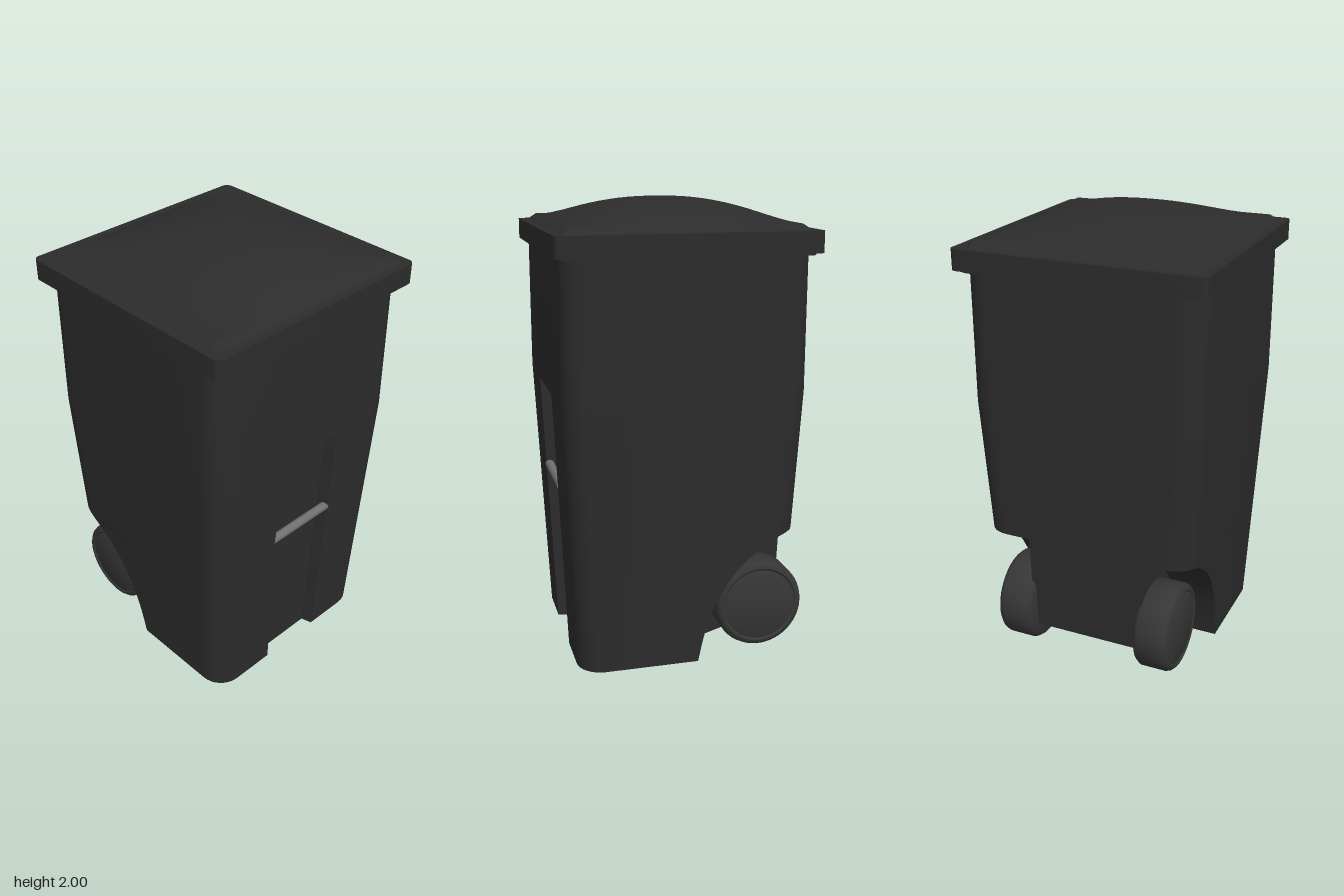
import * as THREE from 'three';
import { toCreasedNormals } from 'three/addons/utils/BufferGeometryUtils.js';

const paint = (color) => new THREE.MeshStandardMaterial({ color });
const shell = paint(0x2c2c2c), rubber = paint(0x363636), metal = paint(0x707070);

const TONGUE = 0.27; // half width of the hull between the wheels
const RECESS_TOP = 1.18;

// Half width of the tapered hull at height y
const half = (y) => 0.47 + 0.055 * Math.min(y / 1.2, 1);

// Horizontal outline of the hull: grip recess on +x, wheel arch clips -x
function outline(y, xMin, recessed) {
  const h = half(y), r = 0.11, d = recessed ? 0.05 : 0;
  const w = 0.155 + 0.02 * Math.min(y / RECESS_TOP, 1);
  const ring = [[h, -w], [h - d, 0.015 - w], [h - d, w - 0.015], [h, w]];
  const corners = [[1, 1], [-1, 1], [-1, -1], [1, -1]];
  corners.forEach(([sx, sz], k) => {
    for (let i = 0; i <= 8; i++) {
      const a = (k + i / 8) * Math.PI / 2;
      ring.push([Math.max(sx * (h - r) + r * Math.cos(a), xMin), sz * (h - r) + r * Math.sin(a)]);
    }
  });
  return ring.map(([x, z]) => new THREE.Vector3(x, y, z));
}

function hullGeometry() {
  // Wheel arch curve, from the floor up to the rear wall
  const arch = new THREE.SplineCurve([
    [-0.055, 0], [-0.087, 0.15], [-0.14, 0.29], [-0.24, 0.44], [-0.39, 0.553], [-0.5, 0.577],
  ].map(([x, y]) => new THREE.Vector2(x, y)));
  const rings = arch.getPoints(20).map((p) => outline(p.y, p.x, true));
  rings.push(outline(RECESS_TOP, -1, true), outline(RECESS_TOP, -1, false));
  rings.push(outline(1.2, -1, false), outline(1.82, -1, false));

  const pos = [];
  const tri = (...pts) => pts.forEach((p) => pos.push(p.x, p.y, p.z));
  for (let k = 0; k < rings.length - 1; k++) {
    const lo = rings[k], up = rings[k + 1], n = lo.length;
    for (let i = 0; i < n; i++) {
      const j = (i + 1) % n;
      tri(lo[i], up[i], lo[j]);
      tri(lo[j], up[i], up[j]);
    }
  }
  // Floor
  const base = rings[0].filter((p, i, all) => i === 0 || p.distanceTo(all[i - 1]) > 1e-5);
  const flat = base.map((p) => new THREE.Vector2(p.x, p.z));
  THREE.ShapeUtils.triangulateShape(flat, []).forEach((f) => tri(...f.map((i) => base[i])));

  const g = new THREE.BufferGeometry();
  g.setAttribute('position', new THREE.Float32BufferAttribute(pos, 3));
  return toCreasedNormals(g, 0.5);
}

// Flat slab with rounded corners, lying on height y
function slab(h, r, y, height) {
  const s = new THREE.Shape();
  s.absarc(h - r, h - r, r, 0, Math.PI / 2);
  s.absarc(r - h, h - r, r, Math.PI / 2, Math.PI);
  s.absarc(r - h, r - h, r, Math.PI, Math.PI * 1.5);
  s.absarc(h - r, r - h, r, Math.PI * 1.5, Math.PI * 2);
  const g = new THREE.ExtrudeGeometry(s, { depth: height, bevelEnabled: false, curveSegments: 6 });
  g.rotateX(-Math.PI / 2).translate(0, y, 0);
  return toCreasedNormals(g, 0.5);
}

// Domed lid top with a mitred chamfer around it
function domeGeometry() {
  const g = new THREE.PlaneGeometry(1.04, 1.04, 26, 26).rotateX(-Math.PI / 2);
  const p = g.attributes.position;
  const bulge = (t) => 1 - Math.min(Math.abs(t) / 0.48, 1) ** 2.3;
  for (let i = 0; i < p.count; i++) {
    const x = p.getX(i), z = p.getZ(i);
    const edge = Math.max(Math.abs(x), Math.abs(z));
    const chamfer = Math.min((0.52 - edge) / 0.04, 1) * 0.025;
    p.setY(i, 1.88 + chamfer + 0.095 * bulge(x) * bulge(z));
  }
  return toCreasedNormals(g, 0.3);
}

function wheelGeometry() {
  const profile = [
    [0, -0.08], [0.17, -0.08], [0.188, -0.072], [0.2, -0.055], [0.2, 0.055], [0.195, 0.07],
    [0.184, 0.081], [0.172, 0.083], [0.163, 0.077], [0.15, 0.083], [0, 0.087],
  ].map(([r, y]) => new THREE.Vector2(r, y));
  return toCreasedNormals(new THREE.LatheGeometry(profile, 48), 0.7);
}

export function createModel() {
  const model = new THREE.Group();
  const add = (name, geometry, material, x = 0, y = 0, z = 0) => {
    const mesh = new THREE.Mesh(geometry, material);
    mesh.name = name;
    mesh.position.set(x, y, z);
    model.add(mesh);
    return mesh;
  };

  add('hull', hullGeometry(), shell);

  // Hull section between the wheels, with a rising underside
  const side = new THREE.Shape([
    [-0.04, 0], [-0.04, 0.6], [-half(0.6), 0.6], [-half(0.125), 0.125], [-0.055, 0],
  ].map(([x, y]) => new THREE.Vector2(x, y)));
  add('wheelHousing', new THREE.ExtrudeGeometry(side, { depth: 2 * TONGUE, bevelEnabled: false }),
    shell, 0, 0, -TONGUE);

  // Lid
  add('lidLip', slab(0.535, 0.05, 1.78, 0.02), shell);
  add('lidRim', slab(0.555, 0.03, 1.79, 0.09), shell);
  add('lidDome', domeGeometry(), shell);

  // Lift bar across the recess
  add('liftBar', new THREE.CylinderGeometry(0.02, 0.02, 0.345, 16), metal, 0.49, 0.767, 0)
    .rotation.x = Math.PI / 2;

  // Wheels and axle
  add('axle', new THREE.CylinderGeometry(0.03, 0.03, 0.6, 16), metal, -0.36, 0.21, 0)
    .rotation.x = Math.PI / 2;
  const wheel = wheelGeometry();
  for (const s of [1, -1]) {
    add(s > 0 ? 'frontWheel' : 'backWheel', wheel, rubber, -0.36, 0.21, s * 0.33)
      .rotation.x = s * Math.PI / 2;
  }
  return model;
}
